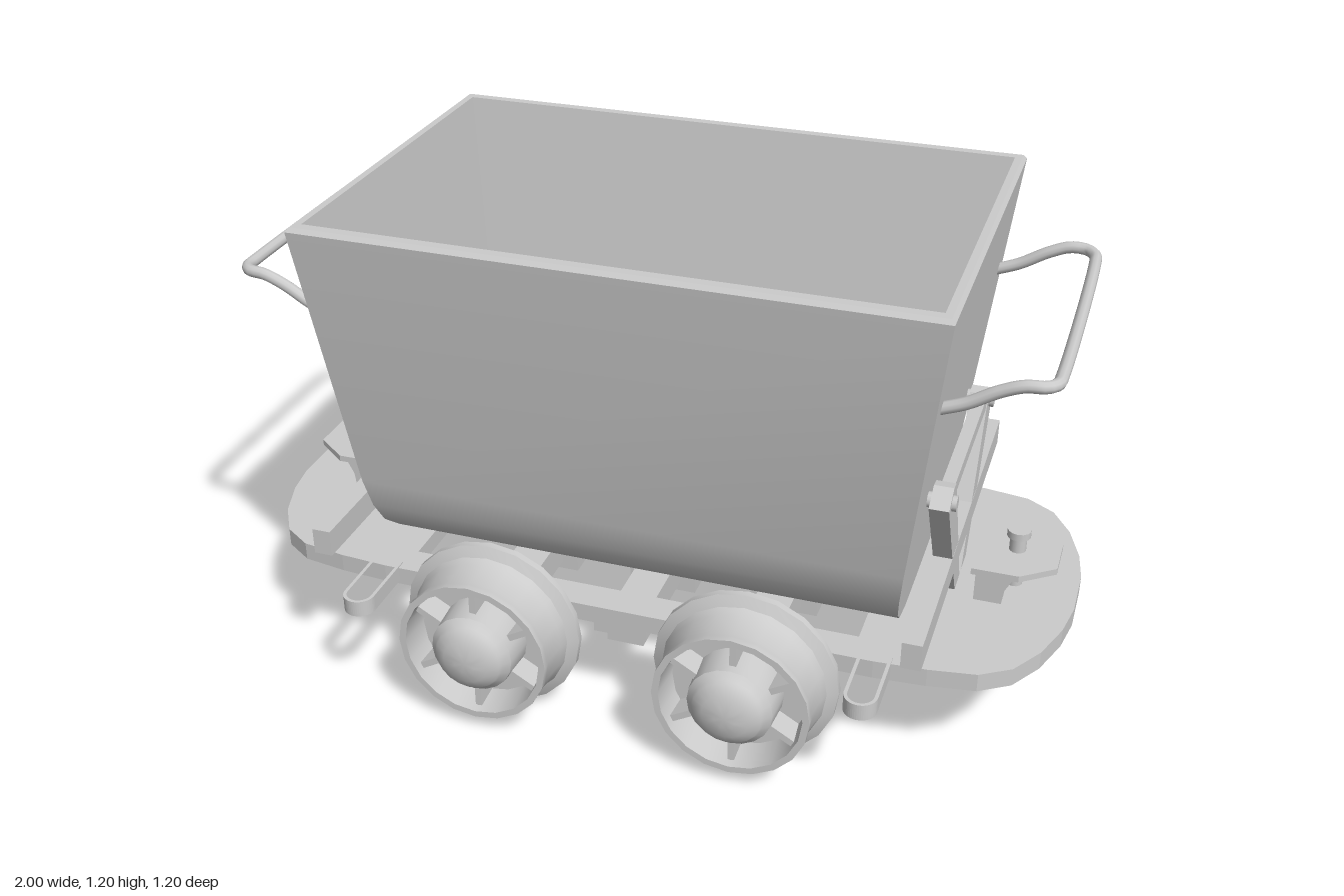
import * as THREE from 'three';
import { toCreasedNormals } from 'three/addons/utils/BufferGeometryUtils.js';

const material = new THREE.MeshStandardMaterial({ color: 0xcccccc });
const thin = new THREE.MeshStandardMaterial({ color: 0xcccccc, side: THREE.DoubleSide });

function add(parent, name, geometry, x = 0, y = 0, z = 0, mat = material) {
  const mesh = new THREE.Mesh(geometry, mat);
  mesh.name = name;
  mesh.position.set(x, y, z);
  parent.add(mesh);
  return mesh;
}
const box = (w, h, d) => new THREE.BoxGeometry(w, h, d);
const shapeOf = (pts) => new THREE.Shape(pts.map(([x, y]) => new THREE.Vector2(x, y)));
const extrude = (shape, depth) => new THREE.ExtrudeGeometry(shape, { depth, bevelEnabled: false });
// Horizontal plate drawn in (x, z), hanging down from its top face
const slab = (shape, depth) => extrude(shape, depth).rotateX(Math.PI / 2);
// Upright plate drawn in (z, y), growing along +x
const upright = (pts, depth) => extrude(shapeOf(pts), depth).rotateY(Math.PI / 2);

// Open hopper: rectangular rings [y, half width x, half depth z], outside up and inside down
function tubGeometry() {
  const outerX = (y) => 0.625 + 0.1 * (y - 0.31) / 0.88;
  const rings = [[0.31, 0], [0.315, 0.18], [0.34, 0.27], [0.39, 0.33], [0.45, 0.366], [0.53, 0.39], [1.19, 0.478]]
    .map(([y, z]) => [y, outerX(y), z]);
  rings.push([1.2, 0.717, 0.47], [1.2, 0.7, 0.447], [0.6, 0.638, 0.37], [0.6, 0.638, 0]);
  const corner = ([y, x, z], i) => [[x, y, z], [x, y, -z], [-x, y, -z], [-x, y, z]][i % 4];
  const pos = [];
  for (let r = 0; r < rings.length - 1; r++) {
    for (let i = 0; i < 4; i++) {
      const a = corner(rings[r], i), b = corner(rings[r], i + 1);
      const c = corner(rings[r + 1], i + 1), d = corner(rings[r + 1], i);
      pos.push(...a, ...b, ...c, ...a, ...c, ...d);
    }
  }
  const g = new THREE.BufferGeometry();
  g.setAttribute('position', new THREE.Float32BufferAttribute(pos, 3));
  g.computeVertexNormals();
  return toCreasedNormals(g, 0.6);
}

// Flanged wheel, axis along +z with z measured from the inner face
function createWheel() {
  const wheel = new THREE.Group();
  wheel.name = 'wheel';
  const profile = [[0, 0], [0.22, 0], [0.22, 0.017], [0.195, 0.03], [0.188, 0.05], [0.18, 0.11], [0.184, 0.125],
    [0.184, 0.142], [0.168, 0.142], [0.16, 0.06], [0.105, 0.06], [0.1, 0.14], [0.085, 0.155],
    [0.08, 0.163], [0.055, 0.176], [0.025, 0.183], [0, 0.184]];
  const lathe = new THREE.LatheGeometry(profile.map(([r, z]) => new THREE.Vector2(r, z)), 20);
  add(wheel, 'wheelDisc', toCreasedNormals(lathe.rotateX(Math.PI / 2), 0.6));
  for (let i = 0; i < 6; i++) {
    const spoke = add(wheel, 'spoke', box(0.016, 0.075, 0.065).translate(0, 0.132, 0), 0, 0, 0.088);
    spoke.rotation.z = i * Math.PI / 3;
  }
  return wheel;
}

// One end of the wagon, facing +x
function createEnd() {
  const end = new THREE.Group();
  end.name = 'end';

  // Tipping support: cross beam, V arms, tie bar and pivots
  add(end, 'crossBeam', box(0.045, 0.065, 1.03), 0.7, 0.423, 0);
  for (const s of [-1, 1]) {
    const arm = [[0.295, 0.658], [0.245, 0.69], [0.215, 0.685], [0.01, 0.31], [0.075, 0.31]];
    add(end, 'supportArm', upright(arm.map(([z, y]) => [s * z, y]), 0.045), 0.677, 0, 0);
    const pivot = new THREE.CylinderGeometry(0.018, 0.018, 0.065, 12).rotateZ(Math.PI / 2);
    add(end, 'pivot', pivot, 0.7, 0.655, s * 0.25);
    // Bracket legs under the coupling plate
    const leg = shapeOf([[0.77, 0.31], [0.835, 0.31], [0.84, 0.35], [0.86, 0.39], [0.77, 0.39]]);
    add(end, 'couplingLeg', extrude(leg, 0.014), 0, 0, s * 0.095 - 0.007);
    // Flat strip stirrup at the corner of the frame
    const loop = new THREE.Shape();
    const outline = (path, w, z) => {
      path.moveTo(-w, 0);
      path.lineTo(-w, z - w);
      path.absarc(0, z - w, w, Math.PI, 0, true);
      path.lineTo(w, 0);
      path.closePath();
    };
    outline(loop, 0.038, 0.19);
    const hole = new THREE.Path();
    outline(hole, 0.03, 0.182);
    loop.holes.push(hole);
    const stirrup = add(end, 'stirrup', slab(loop, 0.04), 0.602, 0.315, s * 0.385);
    stirrup.rotation.y = s > 0 ? 0 : Math.PI;
  }
  add(end, 'tieBar', box(0.03, 0.034, 0.5), 0.705, 0.668, 0);

  // Coupling plate and pin
  const plate = shapeOf([[0.76, -0.115], [0.87, -0.115], [0.95, -0.055], [0.95, 0.055], [0.87, 0.115], [0.76, 0.115]]);
  add(end, 'couplingPlate', slab(plate, 0.016), 0, 0.405, 0);
  add(end, 'couplingPin', new THREE.CylinderGeometry(0.02, 0.02, 0.14, 14), 0.85, 0.38, 0);
  add(end, 'pinHead', new THREE.CylinderGeometry(0.028, 0.028, 0.018, 14), 0.85, 0.452, 0);

  // Bent grab handle
  const half = [[0.69, 0.945, 0.366], [0.745, 0.967, 0.366], [0.81, 1.005, 0.366], [0.86, 1.025, 0.366],
    [0.9, 1.026, 0.36], [0.92, 1.024, 0.335], [0.924, 1.023, 0.29]];
  const points = [...half, ...half.map(([x, y, z]) => [x, y, -z]).reverse()];
  const curve = new THREE.CatmullRomCurve3(points.map((p) => new THREE.Vector3(...p)), false, 'centripetal');
  add(end, 'handle', new THREE.TubeGeometry(curve, 80, 0.014, 10), 0, 0, 0, thin);
  return end;
}

export function createModel() {
  const wagon = new THREE.Group();
  wagon.name = 'tippingWagon';
  add(wagon, 'tub', tubGeometry());

  // Frame plate with rounded ends and an open middle
  const quarter = [[1, 0.07], [0.985, 0.16], [0.95, 0.26], [0.9, 0.34], [0.83, 0.385], [0.72, 0.402], [0.6, 0.41]];
  const right = [...quarter.map(([x, z]) => [x, -z]).reverse(), ...quarter];
  const frame = shapeOf([...right, ...right.map(([x, z]) => [-x, -z])]);
  frame.holes.push(shapeOf([[-0.55, -0.33], [-0.55, 0.33], [0.55, 0.33], [0.55, -0.33]]));
  add(wagon, 'frame', slab(frame, 0.045), 0, 0.312, 0);

  // Underframe beams and blocks
  for (const x of [-0.3125, 0, 0.3125]) {
    add(wagon, 'underBlock', box(0.17, 0.13, 0.19), x, 0.238, 0);
    add(wagon, 'underBeam', box(0.09, 0.075, x ? 0.85 : 0.74), x, 0.232, 0);
    for (const s of [-1, 1]) add(wagon, 'beamMount', box(0.13, 0.05, 0.08), x, 0.265, s * 0.365);
  }

  for (const x of [-0.3125, 0.3125]) {
    for (const s of [-1, 1]) {
      const wheel = createWheel();
      wheel.position.set(x, 0.22, s * 0.415);
      wheel.rotation.y = s > 0 ? 0 : Math.PI;
      wagon.add(wheel);
    }
  }

  for (const turn of [0, Math.PI]) {
    const end = createEnd();
    end.rotation.y = turn;
    wagon.add(end);
  }
  return wagon;
}
